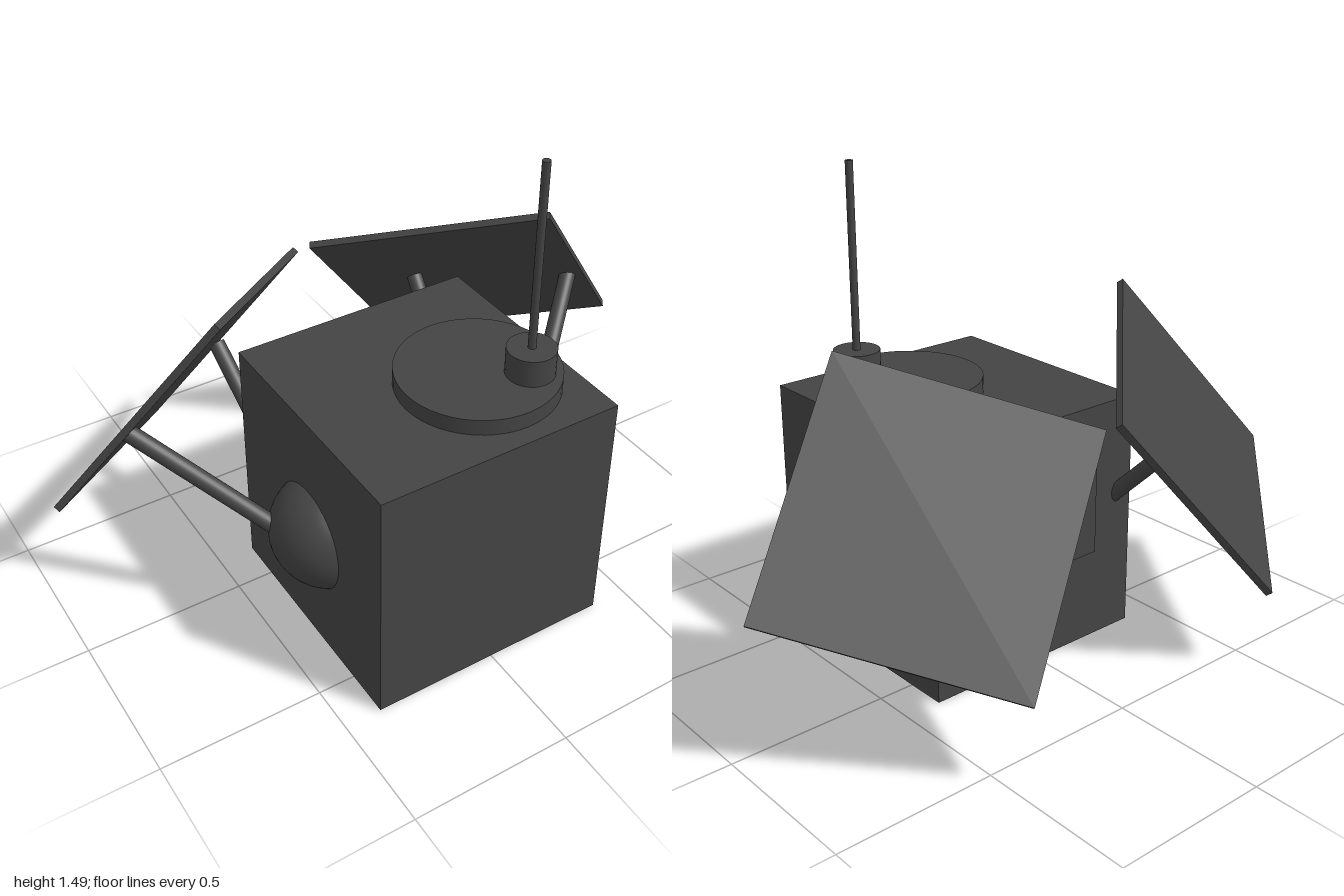
import * as THREE from 'three';

const material = new THREE.MeshStandardMaterial({ color: 0x444444 });

export function createModel() {
  const model = new THREE.Group();
  const add = (name, geometry, x = 0, y = 0, z = 0) => {
    const mesh = new THREE.Mesh(geometry, material);
    mesh.name = name;
    mesh.position.set(x, y, z);
    model.add(mesh);
    return mesh;
  };
  // Round rod between two points
  const rod = (name, a, b, radius) => {
    const dir = b.clone().sub(a);
    const mid = a.clone().add(b).multiplyScalar(0.5);
    const mesh = add(name, new THREE.CylinderGeometry(radius, radius, dir.length(), 24), mid.x, mid.y, mid.z);
    mesh.quaternion.setFromUnitVectors(new THREE.Vector3(0, 1, 0), dir.normalize());
  };

  // Cube body and the thin plate on its back
  add('body', new THREE.BoxGeometry(0.77, 0.775, 0.775), 0, 0.3875, 0.258);
  add('backPlate', new THREE.BoxGeometry(0.43, 0.305, 0.03), 0, 0.458, -0.14);

  // Antenna stack on the roof
  add('antennaDisc', new THREE.CylinderGeometry(0.24, 0.24, 0.05, 48), 0.12, 0.8, 0.35);
  add('antennaBase', new THREE.CylinderGeometry(0.072, 0.072, 0.085, 32), 0.23, 0.867, 0.445);
  add('antennaMast', new THREE.CylinderGeometry(0.012, 0.012, 0.585, 16), 0.23, 1.193, 0.445);

  // Joint, struts and tilted panel, mirrored on both sides
  for (const [side, s] of [['left', 1], ['right', -1]]) {
    const v = (x, y, z) => new THREE.Vector3(s * x, y, z);
    add(side + 'Joint', new THREE.SphereGeometry(0.178, 40, 28), s * 0.318, 0.367, 0.26);
    rod(side + 'SideStrut', v(0.44, 0.37, 0.215), v(0.775, 0.695, -0.06), 0.026);
    rod(side + 'BackStrut', v(0.325, 0.42, -0.08), v(0.36, 0.675, -0.335), 0.025);

    // Panel axes: one edge, the other edge, then the face normal
    const u = v(0.445, -0.59, -0.21).normalize();
    const n = u.clone().cross(v(-0.525, -0.215, -0.535)).normalize();
    const w = n.clone().cross(u);
    const panel = add(side + 'Panel', new THREE.BoxGeometry(0.765, 0.77, 0.022), s * 0.508, 0.66, -0.27);
    panel.quaternion.setFromRotationMatrix(new THREE.Matrix4().makeBasis(u, w, n));
  }
  return model;
}
